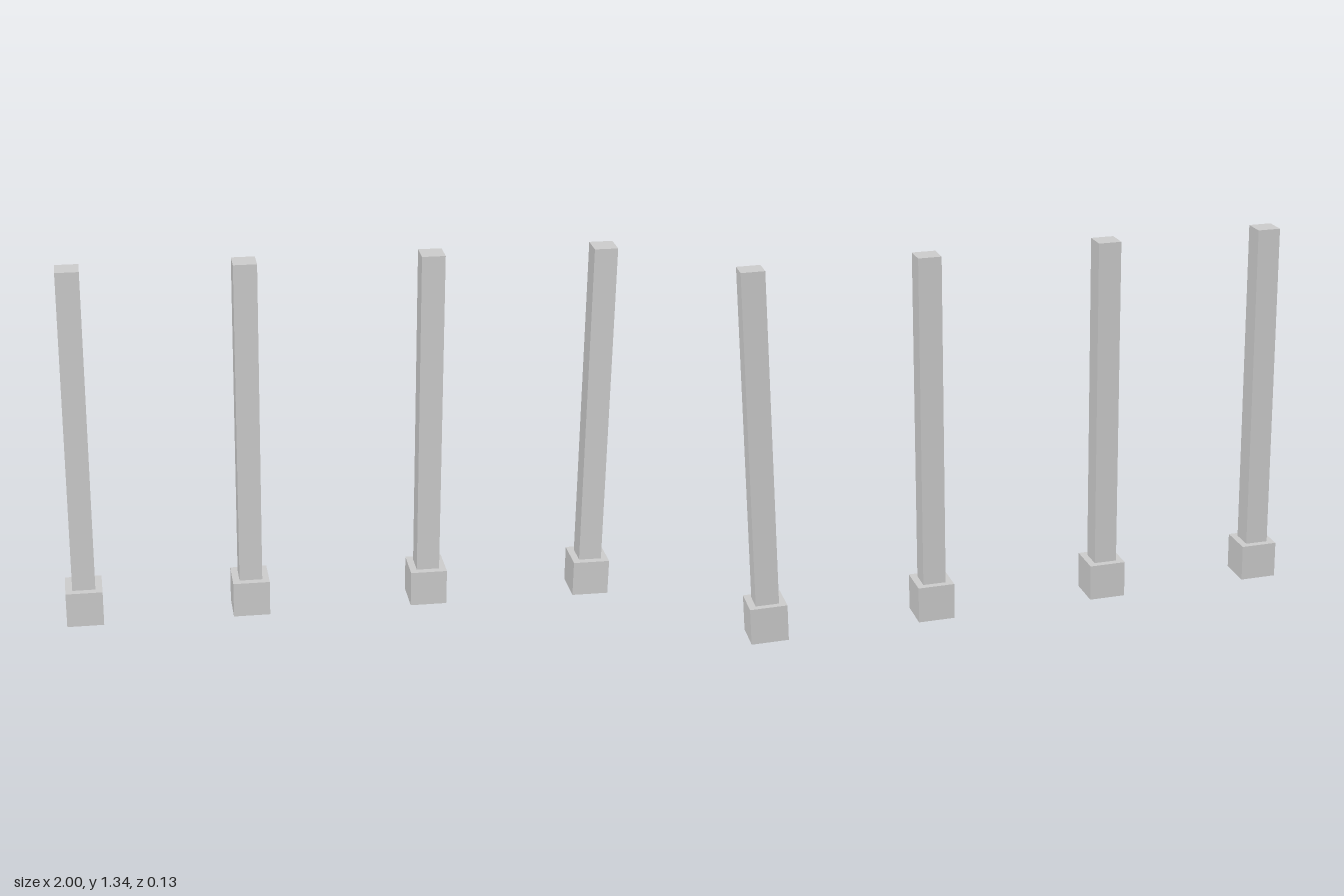
import * as THREE from 'three';

const BASE = 0.133;   // cube footing edge
const POST = 0.083;   // square post width
const HEIGHT = 1.344; // overall height

export function createModel() {
  const model = new THREE.Group();
  model.name = 'postRow';
  const material = new THREE.MeshStandardMaterial({ color: 0xcccccc, flatShading: true });

  // Square block standing on the given height
  const block = (name, width, height, bottom) => {
    const mesh = new THREE.Mesh(new THREE.BoxGeometry(width, height, width), material);
    mesh.name = name;
    mesh.position.y = bottom + height / 2;
    return mesh;
  };

  // Four posts in a row, each on a cube footing
  const columns = { rightOuter: -0.9335, rightInner: -0.329, leftInner: 0.324, leftOuter: 0.9335 };
  for (const [side, x] of Object.entries(columns)) {
    const column = new THREE.Group();
    column.name = `${side}Column`;
    column.position.x = x;
    column.add(block('footing', BASE, BASE, 0), block('post', POST, HEIGHT - BASE, BASE));
    model.add(column);
  }
  return model;
}
